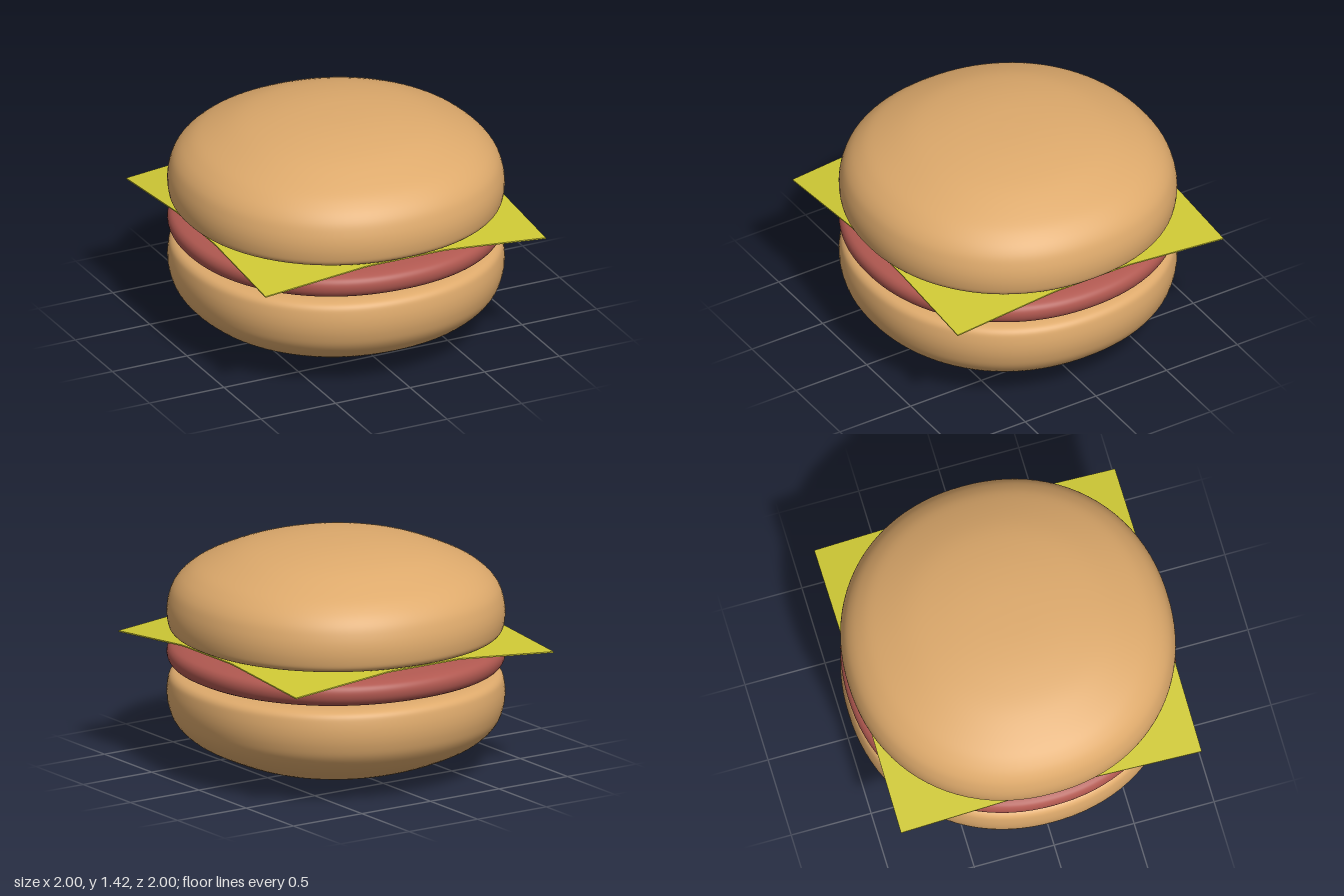
import * as THREE from 'three';
import { mergeVertices } from 'three/addons/utils/BufferGeometryUtils.js';

const bunMat = new THREE.MeshStandardMaterial({ color: 0xdeaa6c });
const pattyMat = new THREE.MeshStandardMaterial({ color: 0xb05850 });
const cheeseMat = new THREE.MeshStandardMaterial({ color: 0xcfc935 });

// Smooth turned solid with a slightly squared round plan; profile runs upward as [radius, y]
function roundSolid(name, profile, material) {
  const curve = new THREE.SplineCurve(profile.map(([r, y]) => new THREE.Vector2(r, y)));
  const points = curve.getPoints(72);
  points.forEach((p) => { p.x = Math.min(1, Math.max(0, p.x)); });
  points[0].x = points[points.length - 1].x = 0;
  let geo = new THREE.LatheGeometry(points, 96);
  const pos = geo.attributes.position;
  const n = 2.12;
  for (let i = 0; i < pos.count; i++) {
    const x = pos.getX(i), z = pos.getZ(i), r = Math.hypot(x, z);
    if (r < 1e-6) continue;
    const k = Math.pow(Math.abs(x / r) ** n + Math.abs(z / r) ** n, -1 / n);
    pos.setX(i, x * k);
    pos.setZ(i, z * k);
  }
  geo.deleteAttribute('uv');
  geo.deleteAttribute('normal');
  geo = mergeVertices(geo, 1e-5);
  geo.computeVertexNormals();
  const mesh = new THREE.Mesh(geo, material);
  mesh.name = name;
  return mesh;
}

// Thin square slice whose four corners fold down
function cheeseSlice() {
  const half = 0.94, fold = 1.2, drop = 0.062;
  const geo = new THREE.BoxGeometry(half * 2, 0.008, half * 2, 48, 1, 48);
  const pos = geo.attributes.position;
  for (let i = 0; i < pos.count; i++) {
    const reach = Math.abs(pos.getX(i)) + Math.abs(pos.getZ(i));
    const t = Math.max(0, reach - fold) / (2 * half - fold);
    pos.setY(i, pos.getY(i) + 0.832 - drop * t);
  }
  geo.computeVertexNormals();
  const mesh = new THREE.Mesh(geo, cheeseMat);
  mesh.name = 'cheeseSlice';
  return mesh;
}

export function createModel() {
  const group = new THREE.Group();
  group.name = 'burger';

  // Bun half: flat cut face at 0, dome at 0.595
  const bun = [
    [0, 0], [0.35, 0], [0.65, 0], [0.85, 0.003], [0.94, 0.013], [0.98, 0.036],
    [0.995, 0.08], [1, 0.15], [0.989, 0.225], [0.96, 0.3], [0.9, 0.37],
    [0.8, 0.437], [0.6, 0.52], [0.4, 0.566], [0.2, 0.589], [0, 0.595],
  ];
  group.add(roundSolid('topBun', bun.map(([r, y]) => [r, 0.827 + y]), bunMat));
  group.add(roundSolid('bottomBun', bun.map(([r, y]) => [r, 0.61 - y * 0.61 / 0.595]).reverse(), bunMat));

  // Patty with rounded rim and shallow domed top
  group.add(roundSolid('patty', [
    [0, 0.605], [0.4, 0.606], [0.75, 0.609], [0.89, 0.618], [0.96, 0.64], [0.99, 0.67],
    [1, 0.71], [0.99, 0.745], [0.96, 0.768], [0.89, 0.786], [0.75, 0.803], [0.4, 0.82], [0, 0.824],
  ], pattyMat));

  group.add(cheeseSlice());
  return group;
}
